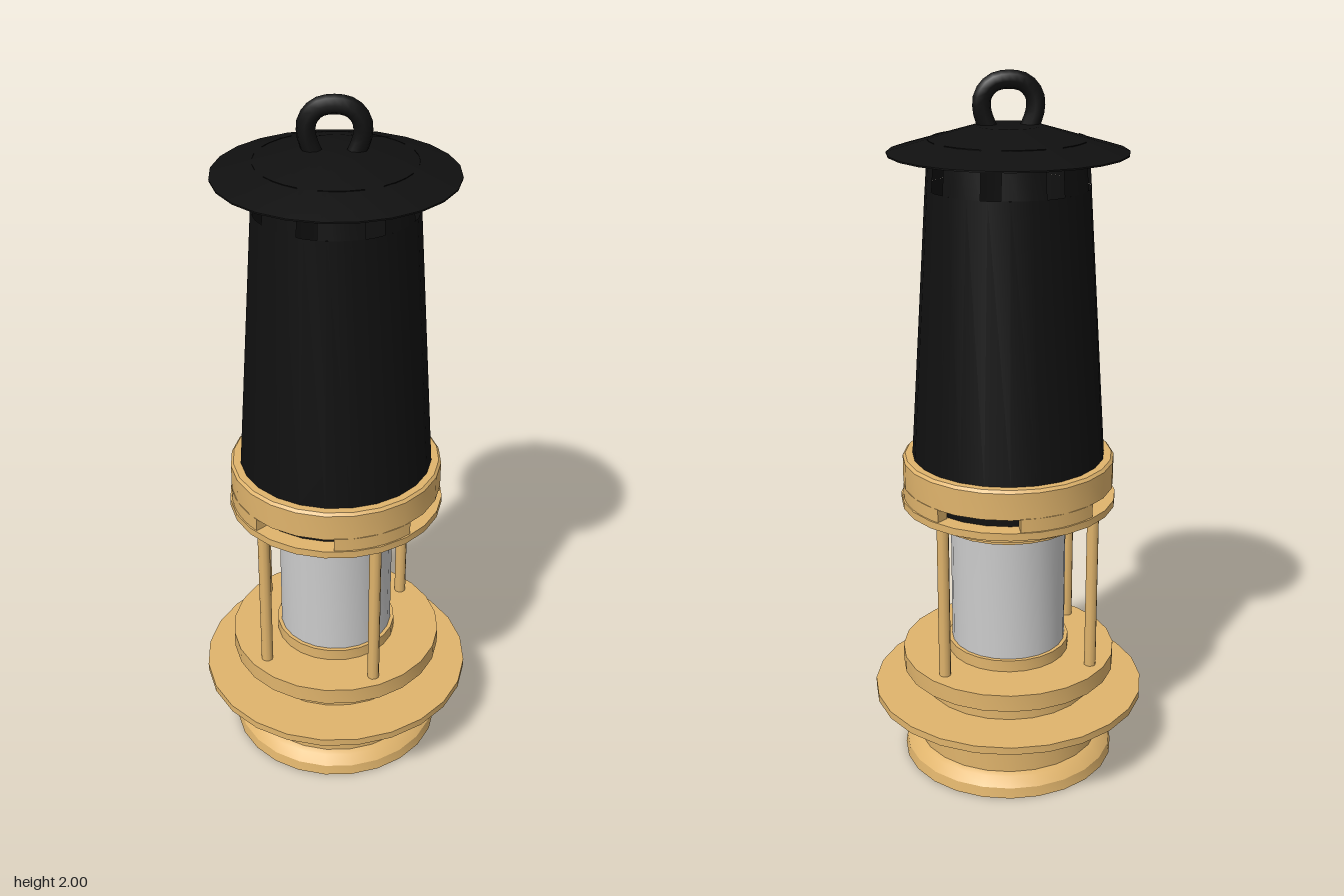
import * as THREE from 'three';
import { toCreasedNormals } from 'three/addons/utils/BufferGeometryUtils.js';

const SIDES = 24;
const DEG = Math.PI / 180;
const brass = new THREE.MeshStandardMaterial({ color: 0xe0b46c });
const black = new THREE.MeshStandardMaterial({ color: 0x101010, side: THREE.DoubleSide });
const grey = new THREE.MeshStandardMaterial({ color: 0xcccccc });

export function createModel() {
  const lamp = new THREE.Group();
  lamp.name = 'minersLamp';

  const add = (name, geometry, material, parent = lamp) => {
    const mesh = new THREE.Mesh(geometry, material);
    mesh.name = name;
    parent.add(mesh);
    return mesh;
  };
  const group = (name) => {
    const g = new THREE.Group();
    g.name = name;
    lamp.add(g);
    return g;
  };
  // Turned part from [radius, height] pairs, listed bottom to top
  const turned = (profile, start = 0, length = 360, sides = SIDES) =>
    toCreasedNormals(
      new THREE.LatheGeometry(profile.map(([r, y]) => new THREE.Vector2(r, y)), sides, start * DEG, length * DEG),
      0.5
    );
  const disc = (r, y0, y1) => turned([[0, y0], [r, y0], [r, y1], [0, y1]]);

  // Fuel reservoir with flared foot
  add('reservoir', turned([
    [0, 0], [0.312, 0], [0.307, 0.03], [0.285, 0.055], [0.27, 0.062], [0.27, 0.2], [0, 0.2],
  ]), brass);
  add('wideRim', disc(0.397, 0.2, 0.222), brass);
  add('neck', disc(0.25, 0.222, 0.285), brass);
  add('lowerFlange', disc(0.312, 0.285, 0.335), brass);
  add('glassSeat', disc(0.177, 0.335, 0.37), brass);

  // Glass cylinder
  add('glass', disc(0.166, 0.37, 0.752), grey);

  // Collar and plate above the glass
  add('glassCollar', turned([
    [0, 0.75], [0.21, 0.75], [0.21, 0.766], [0.232, 0.766], [0.232, 0.805], [0, 0.805],
  ]), brass);
  add('upperPlate', disc(0.306, 0.805, 0.826), brass);

  // Guard pillars
  const pillars = group('pillars');
  for (const [x, z] of [[0, 0.262], [0.26, 0.07], [0, -0.262], [-0.26, 0.07]]) {
    const pillar = add('pillar', new THREE.CylinderGeometry(0.017, 0.017, 0.48, 10), brass, pillars);
    pillar.position.set(x, 0.57, z);
  }

  // Crown ring, carried on four blocks that leave air slots between them
  add('crownRing', turned([
    [0.262, 0.862], [0.3, 0.862], [0.3, 0.938], [0.293, 0.946], [0.262, 0.946], [0.262, 0.862],
  ]), brass);
  const blocks = group('crownBlocks');
  for (let i = 0; i < 4; i++) {
    const a = (-40 + 90 * i) * DEG;
    const b = a + 44 * DEG;
    const sector = new THREE.Shape();
    sector.absarc(0, 0, 0.3, a, b, false);
    sector.absarc(0, 0, 0.262, b, a, true);
    sector.closePath();
    const geometry = new THREE.ExtrudeGeometry(sector, { depth: 0.04, bevelEnabled: false, curveSegments: 4 });
    geometry.rotateX(-Math.PI / 2).translate(0, 0.824, 0);
    add('crownBlock', toCreasedNormals(geometry, 0.5), brass, blocks);
  }

  // Tapered bonnet, with eight vents left open below the hood
  add('bonnet', turned([[0.258, 0.826], [0.258, 0.944], [0.272, 0.945], [0.222, 1.7]]), black);
  const posts = group('bonnetPosts');
  for (let i = 0; i < 8; i++) {
    add('bonnetPost', turned([[0.222, 1.7], [0.213, 1.826]], 39 + 45 * i, 31, 3), black, posts);
  }
  add('bonnetCeiling', disc(0.205, 1.79, 1.8), brass);

  // Shallow conical hood
  add('hood', turned([
    [0, 1.83], [0.09, 1.83], [0.323, 1.788], [0.323, 1.792], [0.09, 1.86], [0, 1.86],
  ]), black);

  // Hanging loop, set diagonally across the hood
  const loopPoints = [
    [-0.05, 1.84], [-0.07, 1.895], [-0.068, 1.935], [-0.042, 1.966], [0, 1.975],
    [0.042, 1.966], [0.068, 1.935], [0.07, 1.895], [0.05, 1.84],
  ].map(([s, y]) => new THREE.Vector3(0.012 + s * 0.64, y, 0.014 - s * 0.77));
  add('hangingLoop', new THREE.TubeGeometry(new THREE.CatmullRomCurve3(loopPoints), 20, 0.025, 8), black);

  return lamp;
}
